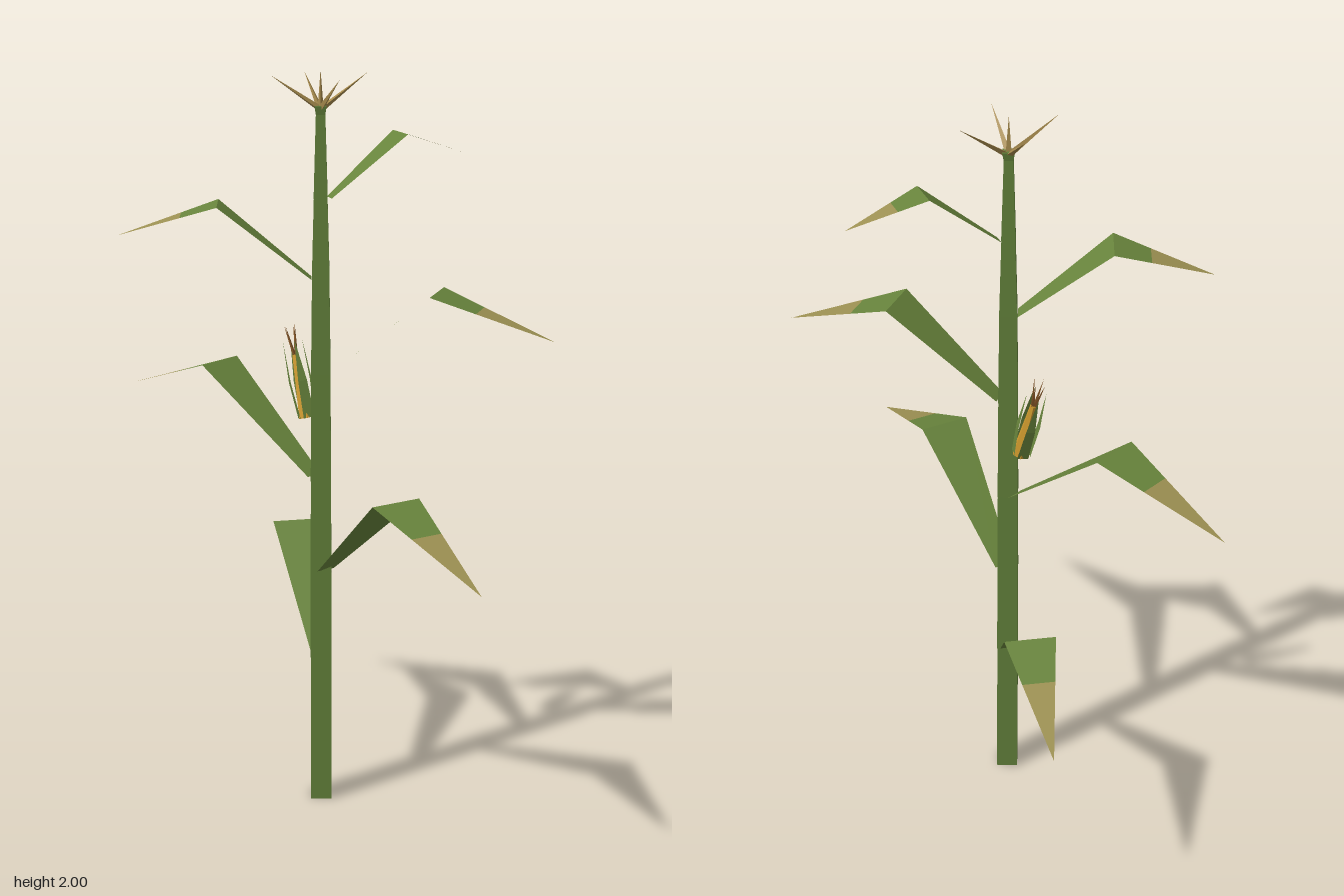
import * as THREE from 'three';

const STALK_X = -0.022, STALK_Z = 0.03;

function mat(name, color) {
  const m = new THREE.MeshStandardMaterial({ color, flatShading: true, side: THREE.DoubleSide });
  m.name = name;
  return m;
}

// Flat strip through cross-sections [distance, height, width], running out along +x
function strip(name, rows, material) {
  const pos = [];
  for (let i = 0; i < rows.length - 1; i++) {
    const [d0, y0, w0] = rows[i], [d1, y1, w1] = rows[i + 1];
    const a = [d0, y0, -w0 / 2], b = [d0, y0, w0 / 2], c = [d1, y1, w1 / 2], d = [d1, y1, -w1 / 2];
    pos.push(...a, ...b, ...c);
    if (w1 > 0) pos.push(...a, ...c, ...d);
  }
  const g = new THREE.BufferGeometry();
  g.setAttribute('position', new THREE.Float32BufferAttribute(pos, 3));
  g.computeVertexNormals();
  const mesh = new THREE.Mesh(g, material);
  mesh.name = name;
  return mesh;
}

// Thin three-sided spike between two points
function spike(name, from, to, radius, material) {
  const a = new THREE.Vector3(...from), b = new THREE.Vector3(...to);
  const dir = b.clone().sub(a), len = dir.length();
  const g = new THREE.ConeGeometry(radius, len, 3).translate(0, len / 2, 0);
  const mesh = new THREE.Mesh(g, material);
  mesh.quaternion.setFromUnitVectors(new THREE.Vector3(0, 1, 0), dir.normalize());
  mesh.position.copy(a);
  mesh.name = name;
  return mesh;
}

export function createModel() {
  const root = new THREE.Group();
  root.name = 'cornPlant';
  const plant = new THREE.Group();
  plant.name = 'plant';
  plant.position.set(STALK_X, 0, STALK_Z);
  root.add(plant);

  const stalkGreen = mat('stalkGreen', 0x62803a);
  const leafGreen = mat('leafGreen', 0x68843c);
  const dryTan = mat('dryTan', 0x9c9052);
  const tasselTan = mat('tasselTan', 0xa5894c);
  const kernelYellow = mat('kernelYellow', 0xcf9a2e);
  const silkBrown = mat('silkBrown', 0x8a5a2a);

  // Square stalk, one piece per internode: [height, half width]
  const joints = [[0, 0.029], [0.42, 0.0285], [0.67, 0.028], [0.92, 0.027],
    [1.21, 0.0255], [1.46, 0.023], [1.67, 0.018], [1.9, 0.012]];
  for (let i = 0; i < joints.length - 1; i++) {
    const [y0, r0] = joints[i], [y1, r1] = joints[i + 1];
    const g = new THREE.CylinderGeometry((r1 - 0.0005) * Math.SQRT2, r0 * Math.SQRT2, y1 - y0, 4);
    g.rotateY(Math.PI / 4).translate(0, (y0 + y1) / 2, 0);
    const piece = new THREE.Mesh(g, stalkGreen);
    piece.name = 'stalk';
    plant.add(piece);
  }
  const cap = new THREE.Mesh(new THREE.CylinderGeometry(0.022, 0.015, 0.03, 4).rotateY(Math.PI / 4), stalkGreen);
  cap.position.y = 1.89;
  cap.name = 'stalkTop';
  plant.add(cap);

  // Folded leaves: fold x, z, y; tip x, z, y (from the stalk); base height; fold width
  const leaves = [
    [-0.071, -0.349, 0.688, -0.141, -0.693, 0.565, 0.42, 0.137],
    [0.192, 0.308, 0.952, 0.387, 0.628, 0.82, 0.67, 0.14],
    [-0.276, -0.225, 1.187, -0.551, -0.444, 1.065, 0.925, 0.14],
    [0.297, 0.093, 1.445, 0.589, 0.191, 1.338, 1.21, 0.14],
    [-0.264, 0.002, 1.657, -0.522, 0.01, 1.575, 1.462, 0.137],
    [0.205, -0.085, 1.827, 0.392, -0.163, 1.758, 1.67, 0.096],
  ];
  for (const [fx, fz, fy, tx, tz, ty, by, w] of leaves) {
    const leaf = new THREE.Group();
    leaf.name = 'leaf';
    const fd = Math.hypot(fx, fz), td = Math.hypot(tx, tz), t = 0.37;
    const dry = [fd + (td - fd) * t, fy + (ty - fy) * t, w * (1 - t)];
    leaf.add(strip('leafBlade', [[0.024, by, w * 0.36], [fd, fy, w], dry], leafGreen));
    leaf.add(strip('leafTip', [dry, [td, ty, 0]], dryTan));
    leaf.rotation.y = -Math.atan2(tz, tx);
    plant.add(leaf);
  }

  // Ear leaning away from the stalk
  const ear = new THREE.Group();
  ear.name = 'ear';
  ear.position.set(-0.036, 1.075, -0.05);
  ear.quaternion.setFromUnitVectors(new THREE.Vector3(0, 1, 0), new THREE.Vector3(-0.2, 1, -0.2).normalize());
  plant.add(ear);
  const cob = new THREE.Mesh(new THREE.CylinderGeometry(0.009, 0.025, 0.17, 6).translate(0, 0.085, 0), kernelYellow);
  cob.name = 'cob';
  ear.add(cob);
  for (let i = 0; i < 4; i++) {
    const husk = strip('husk', [[0.022, 0, 0.03], [0.029, 0.1, 0.024], [0.026, 0.21, 0]], leafGreen);
    husk.rotation.y = i * Math.PI / 2 + 0.25;
    ear.add(husk);
    const a = i * Math.PI / 2 + 0.6;
    ear.add(spike('silk', [0, 0.15, 0], [0.018 * Math.cos(a), 0.25, 0.018 * Math.sin(a)], 0.006, silkBrown));
  }

  // Tassel spikes
  const tips = [[0, 1.995, 0], [0.119, 1.982, -0.06], [-0.123, 1.985, 0.047],
    [0.048, 1.982, 0.12], [-0.043, 1.978, -0.13]];
  for (const tip of tips) plant.add(spike('tasselSpike', [0, 1.895, 0], tip, 0.009, tasselTan));

  return root;
}
